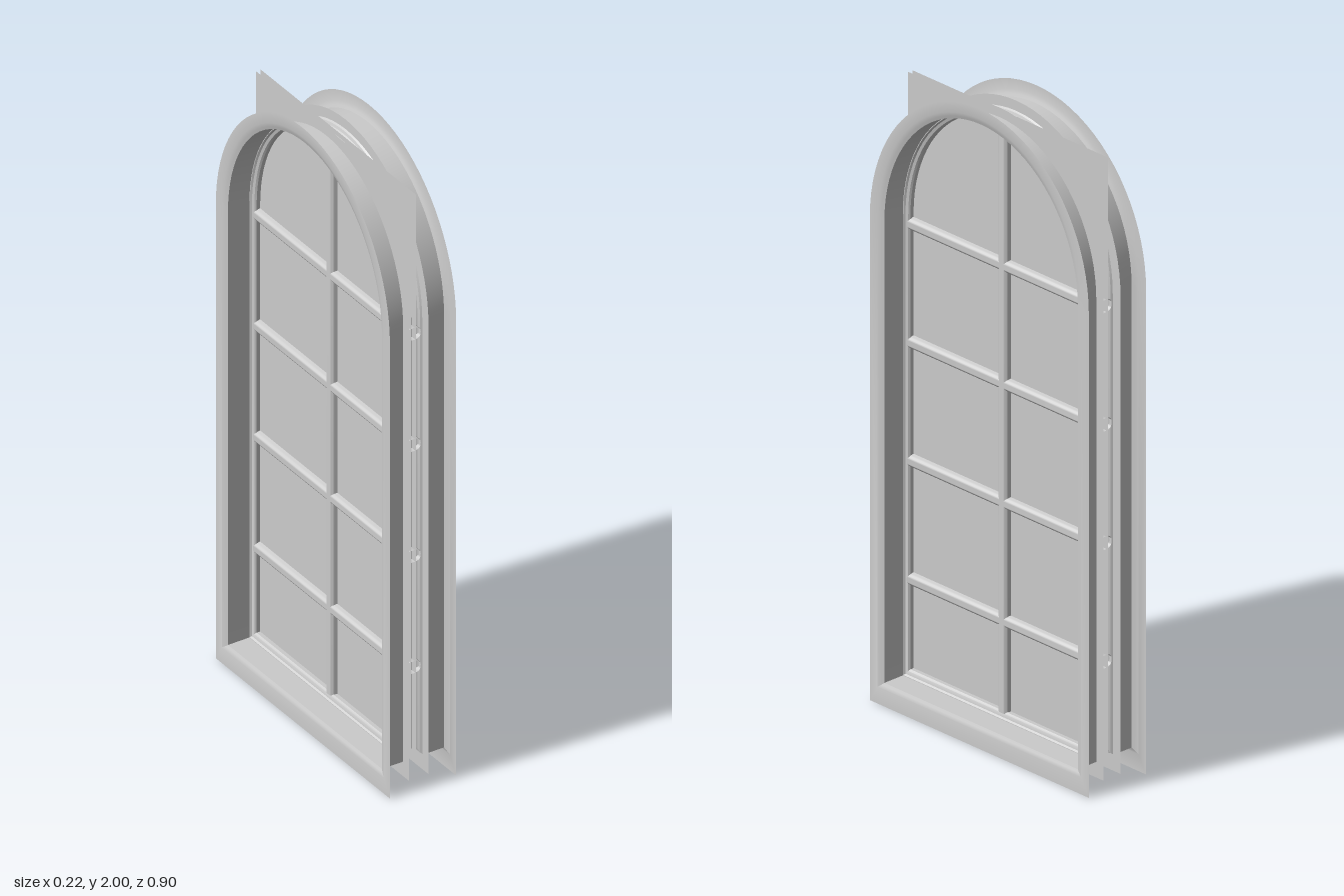
import * as THREE from 'three';
import { toCreasedNormals } from 'three/addons/utils/BufferGeometryUtils.js';

const SPRING = 1.51, HALF = 0.448, RISE = 0.49, ARC = 40;

// Arched outline, inset by d with its sill at height b, anticlockwise seen from +x
function outline(d, b, x) {
  const pts = [new THREE.Vector3(x, b, HALF - d), new THREE.Vector3(x, b, d - HALF)];
  for (let i = 0; i <= ARC; i++) {
    const a = (Math.PI * i) / ARC;
    pts.push(new THREE.Vector3(x, SPRING + (RISE - d) * Math.sin(a), -(HALF - d) * Math.cos(a)));
  }
  return pts;
}

// Skin a moulding between outlines; each profile entry is [inset, sill height, x]
function moulding(profile) {
  const rings = profile.map((p) => outline(...p));
  const pos = [];
  for (let i = 0; i < rings.length - 1; i++) {
    const n = rings[i].length;
    for (let j = 0; j < n; j++) {
      const k = (j + 1) % n;
      const [a, b, c, d] = [rings[i][j], rings[i][k], rings[i + 1][k], rings[i + 1][j]];
      for (const v of [a, b, c, a, c, d]) pos.push(v.x, v.y, v.z);
    }
  }
  const g = new THREE.BufferGeometry();
  g.setAttribute('position', new THREE.Float32BufferAttribute(pos, 3));
  return toCreasedNormals(g, 0.5);
}

// Upright open-ended glazing bar with a rounded, slightly squared section
function bar(length) {
  const g = new THREE.CylinderGeometry(1, 1, length, 24, 1, true);
  const p = g.attributes.position;
  const square = (v) => Math.sign(v) * Math.abs(v) ** 0.7;
  for (let i = 0; i < p.count; i++) {
    p.setX(i, 0.027 * square(p.getX(i)));
    p.setZ(i, 0.02 * square(p.getZ(i)));
  }
  return toCreasedNormals(g, 0.7);
}

export function createModel() {
  const model = new THREE.Group();
  const mat = new THREE.MeshStandardMaterial({ color: 0xcccccc, side: THREE.DoubleSide });
  const add = (name, geometry) => {
    const mesh = new THREE.Mesh(geometry, mat);
    mesh.name = name;
    model.add(mesh);
    return mesh;
  };

  // Casing with bevelled edge and reveal, open at the back
  const casing = moulding([
    [0, 0, 0.112], [0.032, 0.053, 0.112], [0.044, 0.062, 0.108],
    [0.052, 0.069, 0.105], [0.052, 0.069, 0.033],
  ]);
  // Sash with a flange and a stepped inner bead
  const sash = moulding([
    [0.022, 0.02, 0.033], [0.054, 0.071, 0.033], [0.058, 0.075, 0.028],
    [0.066, 0.085, 0.025], [0.07, 0.09, 0.02], [0.07, 0.09, 0],
  ]);
  const pane = new THREE.PlaneGeometry(0.8, 1.86).rotateY(Math.PI / 2);

  // Both faces of the window are alike
  for (const s of [1, -1]) {
    const side = s > 0 ? 'left' : 'right';
    const turn = s > 0 ? 0 : Math.PI;
    add(side + 'Casing', casing).rotation.y = turn;
    add(side + 'Sash', sash).rotation.y = turn;
    add(side + 'GlassPane', pane).position.set(0.008 * s, 1.015, 0);
  }

  // Glazing bars: one upright, four across that run through the sash
  add('verticalBar', bar(1.84)).position.y = 1.005;
  const crossBar = bar(0.79).rotateX(Math.PI / 2);
  for (let i = 0; i < 4; i++) add('horizontalBar', crossBar).position.y = 0.37 + 0.37 * i;

  return model;
}
